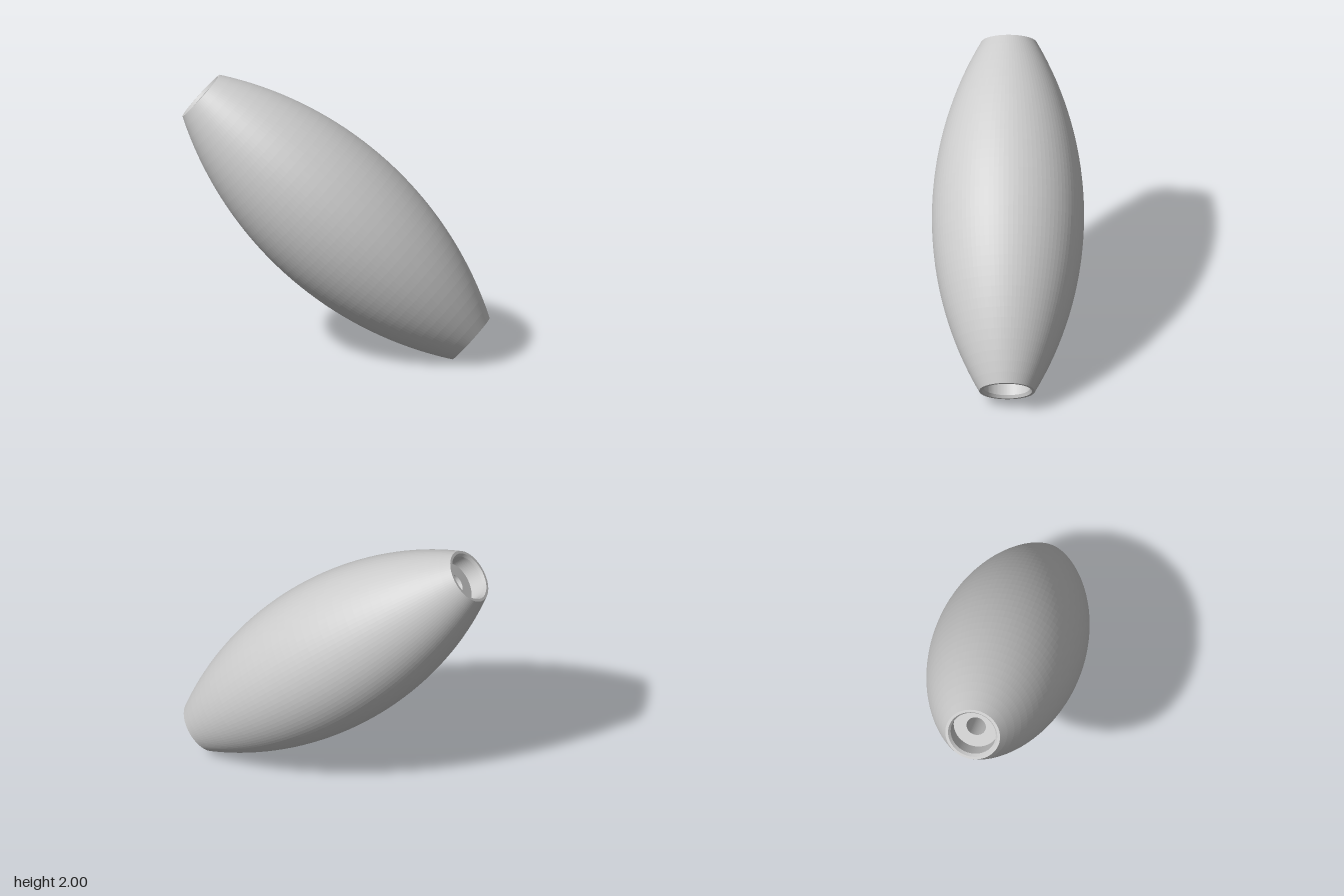
import * as THREE from 'three';

const HALF = 1.292;    // half length along the axis
const END_R = 0.198;   // radius at the two ends
const MID_R = 0.54;    // radius at the middle
const BORE_R = 0.163;  // counterbore in each end
const BORE_DEPTH = 0.13;
const HOLE_R = 0.07;   // through hole
const SEGMENTS = 96;

export function createModel() {
  const group = new THREE.Group();
  const material = new THREE.MeshStandardMaterial({ color: 0xcccccc, flatShading: true });
  const axis = new THREE.Vector3(-0.737, 0.85, 0.635).normalize();

  const addLathe = (name, pairs) => {
    const points = pairs.map(([r, y]) => new THREE.Vector2(r, y));
    const mesh = new THREE.Mesh(new THREE.LatheGeometry(points, SEGMENTS), material);
    mesh.name = name;
    mesh.quaternion.setFromUnitVectors(new THREE.Vector3(0, 1, 0), axis);
    mesh.position.y = 1;
    group.add(mesh);
  };

  // Barrel-shaped outer skin, a circular arc from end to end
  const sag = MID_R - END_R;
  const arcR = (HALF * HALF + sag * sag) / (2 * sag);
  const steps = 36;
  const arc = [];
  for (let i = 0; i <= steps; i++) {
    const y = HALF * (2 * i / steps - 1);
    arc.push([MID_R - arcR + Math.sqrt(arcR * arcR - y * y), y]);
  }
  addLathe('barrelShell', arc);

  // Rim, chamfer, counterbore and floor, mirrored for the two ends
  const socket = [
    [END_R, HALF],
    [BORE_R + 0.015, HALF],
    [BORE_R, HALF - 0.02],
    [BORE_R, HALF - BORE_DEPTH],
    [HOLE_R, HALF - BORE_DEPTH],
  ];
  addLathe('upperSocket', socket);
  addLathe('lowerSocket', socket.map(([r, y]) => [r, -y]).reverse());

  // Hole running through the whole length
  addLathe('throughHole', [[HOLE_R, HALF - BORE_DEPTH], [HOLE_R, BORE_DEPTH - HALF]]);

  return group;
}
